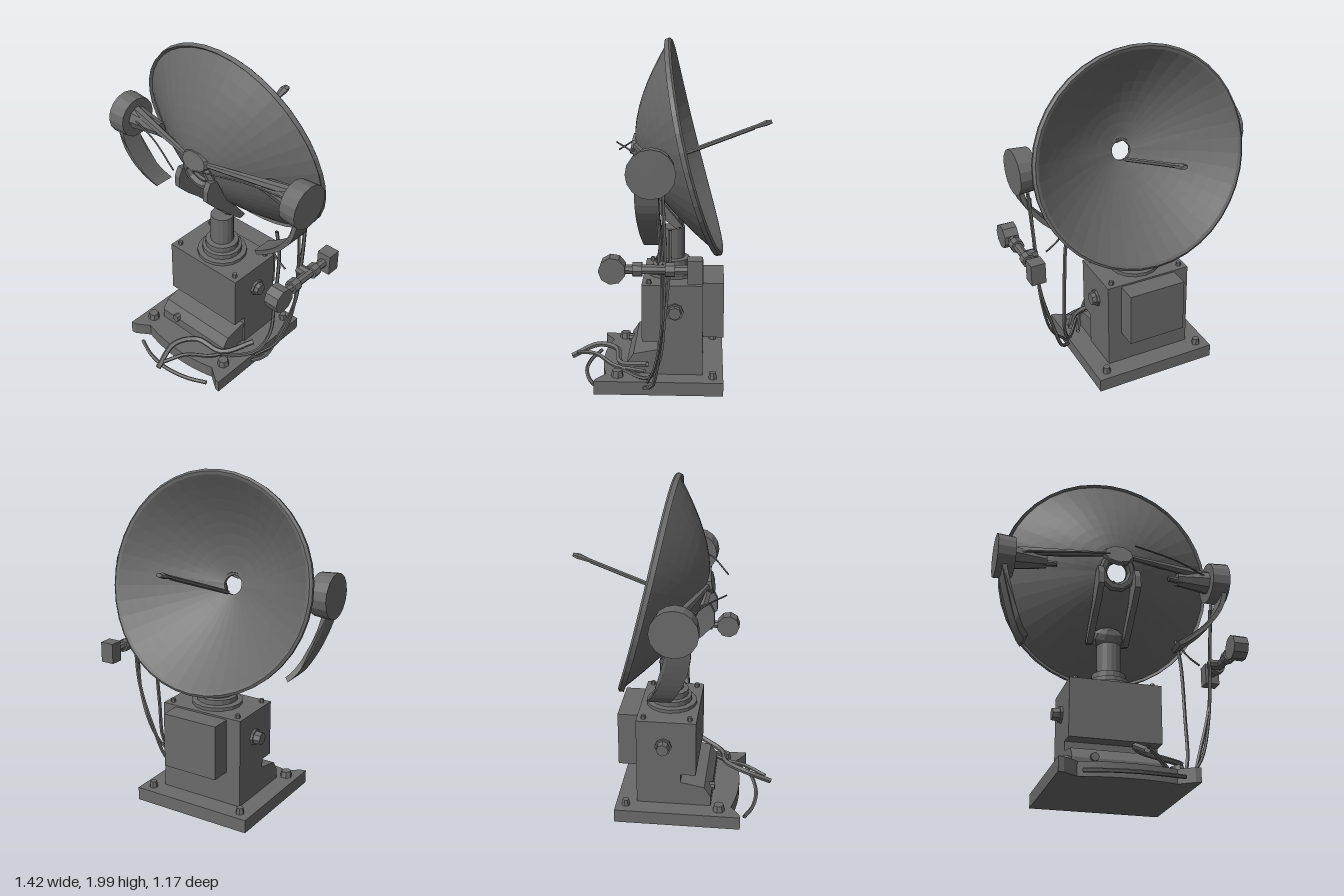
import * as THREE from 'three';

const V = (x, y, z) => new THREE.Vector3(x, y, z);
const CX = -0.015; // centre line of dish and pedestal

export function createModel() {
  const root = new THREE.Group();
  root.name = 'dishAntenna';
  const metal = new THREE.MeshStandardMaterial({ color: 0x6a6a6a, flatShading: true, side: THREE.DoubleSide });
  metal.name = 'dark grey metal';

  const add = (name, geo, x = 0, y = 0, z = 0, parent = root) => {
    const m = new THREE.Mesh(geo, metal);
    m.name = name;
    m.position.set(x, y, z);
    parent.add(m);
    return m;
  };
  // box given by its limits
  const box = (name, x0, x1, y0, y1, z0, z1) =>
    add(name, new THREE.BoxGeometry(x1 - x0, y1 - y0, z1 - z0), (x0 + x1) / 2, (y0 + y1) / 2, (z0 + z1) / 2);
  // cylinder between two points
  const rod = (name, a, b, r0, r1, sides = 8) => {
    const m = add(name, new THREE.CylinderGeometry(r1, r0, a.distanceTo(b), sides));
    m.position.copy(a).lerp(b, 0.5);
    m.quaternion.setFromUnitVectors(V(0, 1, 0), b.clone().sub(a).normalize());
    return m;
  };
  const cable = (name, pts, r = 0.01) =>
    add(name, new THREE.TubeGeometry(new THREE.CatmullRomCurve3(pts.map(p => V(...p))), 24, r, 5));
  // side profile (z, y) extruded from x0 to x1
  const sideProfile = (name, pts, x0, x1) => {
    const shape = new THREE.Shape(pts.map(p => new THREE.Vector2(...p)));
    const geo = new THREE.ExtrudeGeometry(shape, { depth: x1 - x0, bevelEnabled: false });
    geo.rotateY(-Math.PI / 2);
    return add(name, geo, x1, 0, 0);
  };
  // bent flat bar: a path in x, y, thickened, given a depth along z and swept back towards its lower end
  const strap = (name, pts, thick, z0, z1, sweep) => {
    const curve = new THREE.SplineCurve(pts.map(p => new THREE.Vector2(...p)));
    const a = [], b = [];
    for (let i = 0; i <= 12; i++) {
      const p = curve.getPoint(i / 12), t = curve.getTangent(i / 12);
      const n = new THREE.Vector2(-t.y, t.x).multiplyScalar(thick / 2);
      a.push(p.clone().add(n));
      b.unshift(p.clone().sub(n));
    }
    const geo = new THREE.ExtrudeGeometry(new THREE.Shape([...a, ...b]), { depth: z1 - z0, bevelEnabled: false });
    const pos = geo.attributes.position;
    const top = pts[0][1], drop = top - pts[pts.length - 1][1];
    for (let i = 0; i < pos.count; i++)
      pos.setZ(i, pos.getZ(i) - sweep * ((top - pos.getY(i)) / drop) ** 2);
    return add(name, geo, 0, 0, z0);
  };

  // base plate with a curved recess along the front edge
  const plate = new THREE.Shape();
  plate.moveTo(-0.39, 0.33);
  plate.lineTo(-0.39, -0.41);
  plate.lineTo(-0.36, -0.405);
  plate.lineTo(-0.28, -0.35);
  plate.quadraticCurveTo(CX, -0.42, 0.25, -0.35);
  plate.lineTo(0.33, -0.405);
  plate.lineTo(0.36, -0.41);
  plate.lineTo(0.36, 0.33);
  const plateGeo = new THREE.ExtrudeGeometry(plate, { depth: 0.08, bevelEnabled: false });
  plateGeo.rotateX(-Math.PI / 2);
  add('basePlate', plateGeo, 0, 0.01, 0);
  for (const [x, z] of [[-0.32, 0.28], [0.28, 0.28], [-0.32, -0.27], [0.29, -0.27]]) {
    const r = z > 0 ? 0.037 : 0.025;
    add('baseBolt', new THREE.CylinderGeometry(r * 0.8, r, 0.04, 7), x, 0.108, z);
  }

  // pedestal housing
  box('lowerHousing', -0.28, 0.245, 0.09, 0.3, -0.21, 0.05);
  box('upperHousing', -0.28, 0.245, 0.29, 0.63, -0.21, 0.14);
  box('rearCabinet', -0.19, 0.16, 0.29, 0.62, -0.33, -0.2);
  sideProfile('frontFoot', [[0.04, 0.09], [0.23, 0.09], [0.23, 0.15], [0.19, 0.21], [0.04, 0.24]], -0.28, 0.235);
  rod('footBolt', V(-0.16, 0.155, 0.2), V(-0.16, 0.155, 0.245), 0.024, 0.024);
  for (const [s, x] of [[-1, -0.28], [1, 0.245]]) {
    rod('sideKnobFlange', V(x, 0.475, -0.05), V(x + s * 0.015, 0.475, -0.05), 0.05, 0.05);
    rod('sideKnob', V(x, 0.475, -0.05), V(x + s * (s < 0 ? 0.055 : 0.04), 0.475, -0.05), 0.042, 0.036);
    for (const z of [-0.17, 0.1])
      add('housingBolt', new THREE.CylinderGeometry(0.013, 0.016, 0.025, 6), x - s * 0.04, 0.64, z);
  }

  // stepped turntable and post
  const steps = [[0, 0.625], [0.15, 0.625], [0.15, 0.65], [0.12, 0.655], [0.12, 0.685], [0.1, 0.69],
    [0.1, 0.725], [0.07, 0.73], [0.07, 0.91], [0, 0.91]];
  add('turntablePost', new THREE.LatheGeometry(steps.map(p => new THREE.Vector2(...p)), 16), CX, 0, -0.03);

  // dish bowl with a central opening, opening to the back and tilted up
  const dish = new THREE.Group();
  dish.name = 'dish';
  dish.position.set(CX, 1.38, -0.155);
  dish.rotation.x = -1.324;
  root.add(dish);
  const R = 0.63, depth = 0.32, outer = [], inner = [];
  for (let i = 0; i <= 9; i++) {
    const r = 0.058 + (R - 0.058) * i / 9;
    const y = -depth * (1 - Math.pow(r / R, 1.5));
    outer.push(new THREE.Vector2(r, y - 0.008));
    inner.unshift(new THREE.Vector2(r - (i ? 0.012 : 0), y + 0.012));
  }
  const lip = [[0.646, -0.018], [0.65, 0.008], [0.636, 0.018]].map(p => new THREE.Vector2(...p));
  const bowl = new THREE.LatheGeometry([...outer, ...lip, ...inner, outer[0].clone()], 40);
  // the upper half bulges more, the sides bend forward, and the rim is slightly wider than tall
  const pos = bowl.attributes.position;
  for (let i = 0; i < pos.count; i++) {
    const x = pos.getX(i), z = pos.getZ(i), r = Math.min(Math.hypot(x, z), R);
    const bulge = 0.035 * Math.sin(Math.PI * r / R) * Math.max(0, z / r);
    pos.setY(i, pos.getY(i) - bulge - 0.03 * (x / R) ** 2);
    pos.setZ(i, z * 0.978);
  }
  add('bowl', bowl, 0, 0, 0, dish);
  const collar = new THREE.TorusGeometry(0.088, 0.026, 6, 10);
  collar.rotateX(Math.PI / 2);
  add('rearCollar', collar, 0, -0.325, 0, dish);

  // feed arm with a flattened tip
  rod('feedArm', V(CX, 1.275, 0.08), V(CX, 1.495, -0.49), 0.013, 0.013, 6);
  rod('feedTip', V(CX, 1.485, -0.46), V(CX, 1.522, -0.56), 0.014, 0.029, 6).scale.z = 0.55;
  rod('feedEnd', V(CX, 1.522, -0.56), V(CX, 1.53, -0.59), 0.029, 0.02, 6).scale.z = 0.55;

  // tilt ribs hugging the back of the dish
  const rib = [[0.15, 1.3], [0.2, 1.31], [0.225, 1.26], [0.225, 1.19], [0.16, 1.12], [0.08, 1.05],
    [0, 0.97], [-0.05, 0.93], [-0.09, 0.94], [-0.01, 1.04], [0.07, 1.13]];
  sideProfile('tiltRib', rib, CX - 0.125, CX - 0.09);
  sideProfile('tiltRib', rib, CX + 0.09, CX + 0.125);
  const ball = add('tiltBall', new THREE.SphereGeometry(0.1, 10, 6), CX, 0.965, -0.045);
  ball.scale.set(1, 0.7, 0.45);
  ball.rotation.x = 0.6;
  rod('hubCap', V(CX, 1.395, 0.18), V(CX, 1.4, 0.205), 0.095, 0.085, 9).scale.z = 0.7;

  // side drums, cross arms and hanging straps
  for (const s of [-1, 1]) {
    const x0 = s < 0 ? -0.61 : 0.575, x1 = s < 0 ? -0.715 : 0.68;
    rod('sideDrum', V(x0, 1.365, 0.06), V(x1, 1.365, 0.06), 0.122, 0.13, 16);
    rod('upperCrossArm', V(x0, 1.41, 0.06), V(s * 0.06 + CX, 1.4, 0.185), 0.03, 0.014, 6);
    rod('lowerCrossArm', V(x0, 1.345, 0.06), V(s * 0.34 + CX, 1.35, 0.08), 0.036, 0.014, 6);
    rod('drumStub', V(x0, 1.365, 0.06), V(s * 0.4 + CX, 1.365, 0.06), 0.07, 0.04, 8);
    cable('dishWire', [[x0, 1.38, 0.1], [s * 0.35, 1.4 + s * 0.02, 0.18], [s < 0 ? -0.09 : 0.06, 1.385 + s * 0.035, 0.285]], 0.005);
  }
  strap('leftHangingStrap', [[0.655, 1.27], [0.62, 1.16], [0.53, 1.04], [0.42, 0.95], [0.37, 0.92]], 0.028, 0.02, 0.145, 0.03);
  strap('rightHangingStrap', [[-0.67, 1.27], [-0.645, 1.17], [-0.6, 1.04], [-0.55, 0.94], [-0.51, 0.895]], 0.03, 0.02, 0.145, 0.12);

  // counterweight bar on the left
  rod('counterweightBar', V(0.66, 0.86, 0.22), V(0.66, 0.86, -0.15), 0.026, 0.026);
  for (const z of [0.13, -0.04])
    rod('barCollar', V(0.66, 0.86, z + 0.025), V(0.66, 0.86, z - 0.025), 0.04, 0.04);
  rod('roundWeight', V(0.62, 0.86, 0.26), V(0.705, 0.86, 0.26), 0.072, 0.072, 9);
  box('squareWeight', 0.62, 0.705, 0.795, 0.92, -0.21, -0.13);
  rod('barBracket', V(0.59, 0.86, 0), V(0.66, 0.86, 0), 0.03, 0.03);

  // hanging cables
  cable('longCable', [[0.62, 1.25, 0], [0.6, 0.9, -0.01], [0.58, 0.6, 0], [0.5, 0.3, 0.03], [0.43, 0.1, 0.07], [0.37, 0.06, 0.12]], 0.011);
  cable('longCable', [[0.6, 1.2, 0.03], [0.595, 0.85, 0.01], [0.57, 0.5, 0.01], [0.5, 0.25, 0.05], [0.38, 0.1, 0.1]], 0.009);
  cable('innerCable', [[0.4, 1.0, -0.03], [0.425, 0.85, -0.03], [0.43, 0.5, 0], [0.425, 0.25, 0.03], [0.37, 0.12, 0.1], [0.25, 0.12, 0.26]], 0.011);
  cable('looseWire', [[0.4, 0.95, 0.02], [0.45, 0.88, 0.03], [0.52, 0.83, 0.03]], 0.006);

  // cables spilling over the base
  cable('floorCable', [[0.36, 0.2, 0.1], [0.25, 0.16, 0.26], [0.08, 0.18, 0.3], [0, 0.17, 0.42], [0.02, 0.1, 0.575]], 0.017);
  cable('floorCable', [[0.3, 0.13, 0.12], [0.2, 0.12, 0.3], [0.1, 0.15, 0.42], [0.03, 0.13, 0.54]], 0.012);
  cable('groundCable', [[-0.27, 0.02, 0.43], [-0.15, 0.015, 0.475], [0, 0.015, 0.49], [0.15, 0.02, 0.465], [0.27, 0.03, 0.42]], 0.012);

  return root;
}
